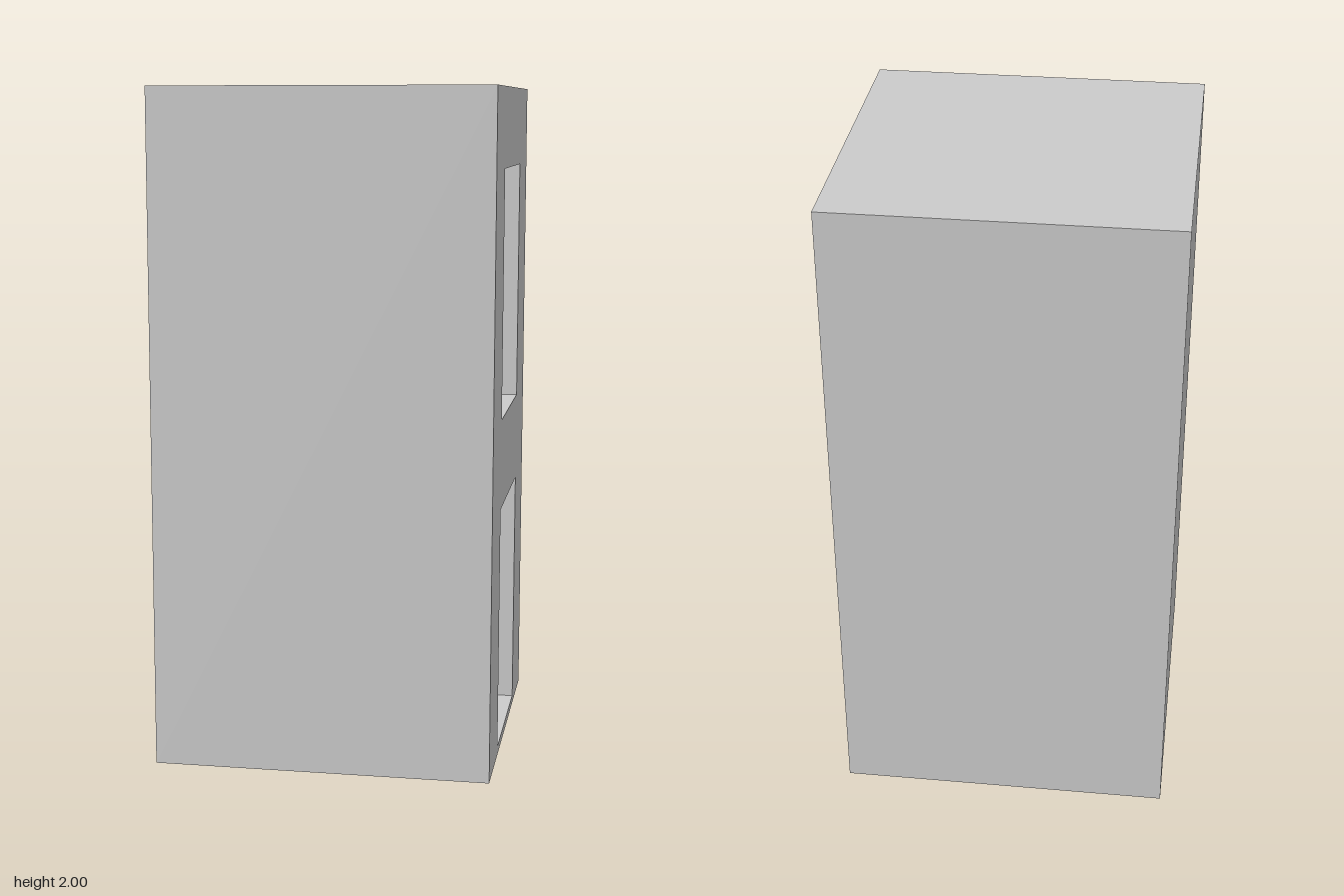
import * as THREE from 'three';

const W = 1, H = 2, WALL = 0.05, SLAB = 0.025;
const OPEN_W = 0.505, OPEN_H = 0.735;
const SILLS = [SLAB, 1.03];

// Box with its first n faces left out (order: +x, -x, +y, -y, +z, -z)
function openBox(w, h, d, n) {
  const g = new THREE.BoxGeometry(w, h, d);
  g.setIndex(Array.from(g.index.array).slice(n * 6));
  g.clearGroups();
  return g;
}

// Turn a surface inside out
function flip(g) {
  g.setIndex(Array.from(g.index.array).reverse());
  const n = g.attributes.normal;
  for (let i = 0; i < n.count; i++) n.setXYZ(i, -n.getX(i), -n.getY(i), -n.getZ(i));
  return g;
}

// Upright rectangle outline, used for the panel and its holes
function rect(Type, w, y0, y1) {
  const r = w / 2;
  return new Type([[-r, y0], [r, y0], [r, y1], [-r, y1]].map(([x, y]) => new THREE.Vector2(x, y)));
}

// Wall face pierced by the openings
function panel(w, y0, y1, dir) {
  const shape = rect(THREE.Shape, w, y0, y1);
  // The lower hole shares the bottom edge of the inner face, so nudge it clear
  shape.holes = SILLS.map((y) => rect(THREE.Path, OPEN_W, Math.max(y, y0 + 0.0002), y + OPEN_H));
  return new THREE.ShapeGeometry(shape).rotateY(dir * Math.PI / 2);
}

export function createModel() {
  const model = new THREE.Group();
  model.name = 'hollowTower';
  const material = new THREE.MeshStandardMaterial({ color: 0xcccccc });
  const add = (name, geometry, x, y) => {
    const mesh = new THREE.Mesh(geometry, material);
    mesh.name = name;
    mesh.position.set(x, y, 0);
    model.add(mesh);
  };

  // Outer walls, roof and base, then the single tall room inside
  const inner = W - 2 * WALL;
  add('outerShell', openBox(W, H, W, 1), 0, H / 2);
  add('innerRoom', flip(openBox(inner, H - 2 * SLAB, inner, 1)), 0, H / 2);

  // Pierced wall on the left side, outside and inside
  add('outerOpeningWall', panel(W, 0, H, 1), W / 2, 0);
  add('innerOpeningWall', panel(inner, SLAB, H - SLAB, -1), inner / 2, 0);

  // Reveals through the wall thickness
  SILLS.forEach((y, i) => {
    add(i ? 'upperReveal' : 'lowerReveal', flip(openBox(WALL, OPEN_H, OPEN_W, 2)),
      (W - WALL) / 2, y + OPEN_H / 2);
  });
  return model;
}
